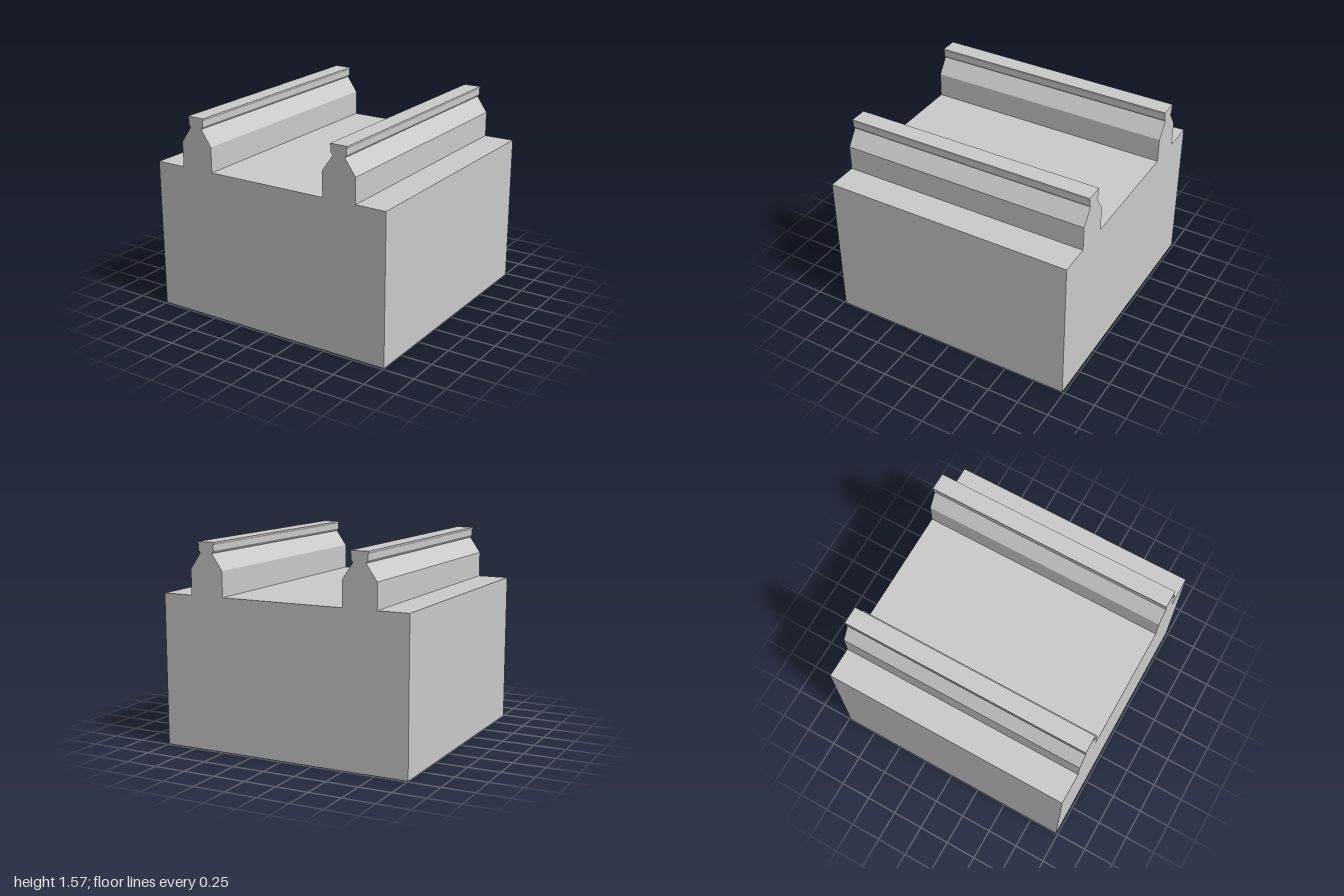
import * as THREE from 'three';

const DEPTH = 1.97;
const BASE_TOP = 1.17;
const RAIL_X = 0.623;

// Half profile of a rail, bottom to top: [half width, height]
const RAIL_PROFILE = [
  [0.135, BASE_TOP], [0.135, 1.365], [0.05, 1.487], [0.064, 1.507],
  [0.064, 1.55], [0.07, 1.562], [0.07, 1.57],
];

export function createModel() {
  const group = new THREE.Group();
  const material = new THREE.MeshStandardMaterial({ color: 0xcccccc, flatShading: true });

  // One solid cross-section: the block with both rails rising out of its top
  const shape = new THREE.Shape();
  shape.moveTo(-1, 0);
  shape.lineTo(1, 0);
  shape.lineTo(1, BASE_TOP);
  for (const x of [RAIL_X, -RAIL_X]) {
    for (const [w, y] of RAIL_PROFILE) shape.lineTo(x + w, y);
    for (const [w, y] of [...RAIL_PROFILE].reverse()) shape.lineTo(x - w, y);
  }
  shape.lineTo(-1, BASE_TOP);
  shape.closePath();

  // Run the section from front to back
  const geometry = new THREE.ExtrudeGeometry(shape, { depth: DEPTH, bevelEnabled: false });
  geometry.translate(0, 0, -DEPTH / 2);
  const block = new THREE.Mesh(geometry, material);
  block.name = 'railedBlock';
  group.add(block);

  return group;
}
